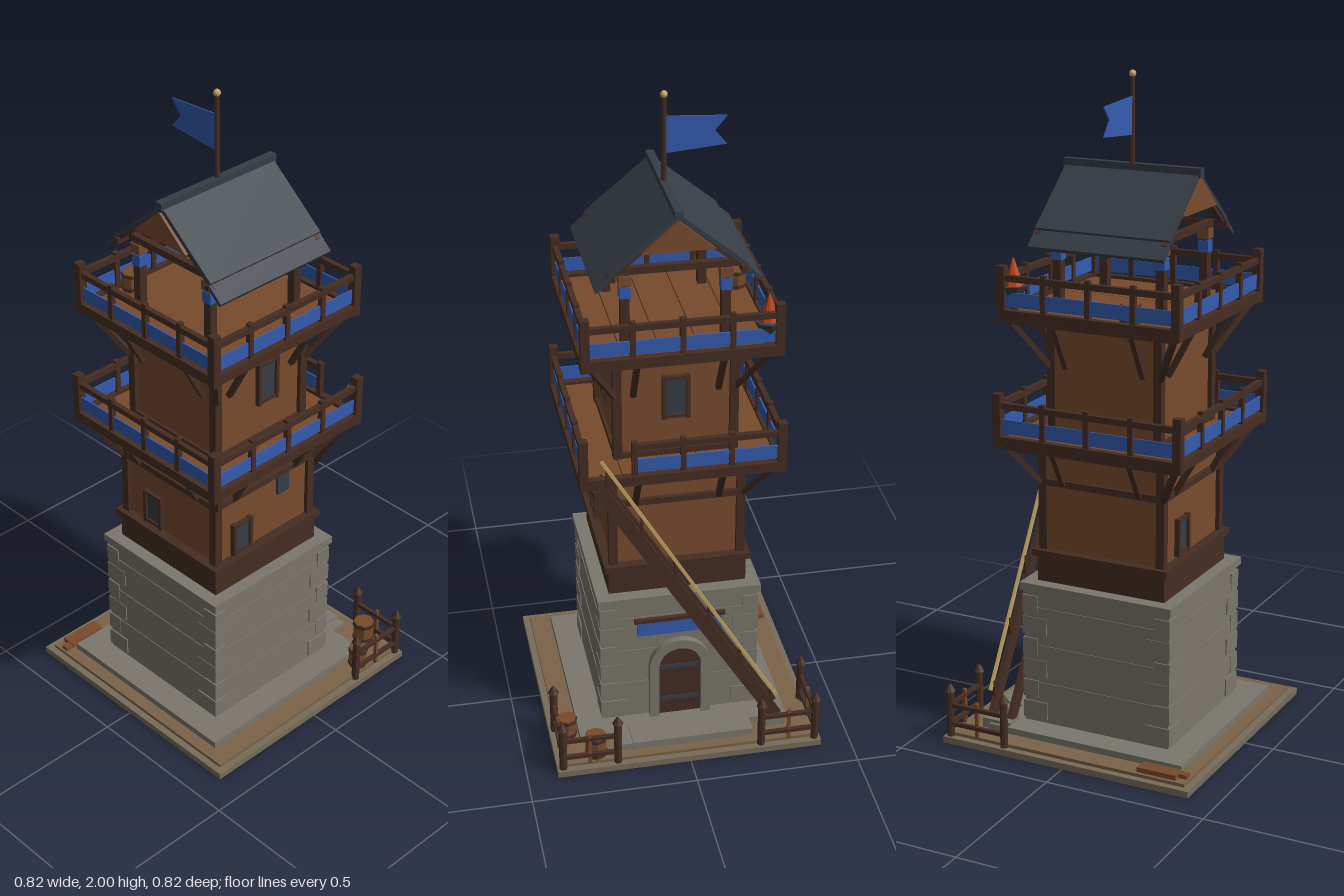
import * as THREE from 'three';

const mat = (name, color) => Object.assign(new THREE.MeshStandardMaterial({ color }), { name });

export function createModel() {
  const M = {
    stone: mat('stone', 0x7b776d), earth: mat('earth', 0x7a6347), rim: mat('ground rim', 0x786c5a),
    wood: mat('wood', 0x784b2d), dark: mat('dark wood', 0x452d23), slate: mat('slate', 0x363d45),
    blue: mat('blue cloth', 0x345bb0), gold: mat('gold', 0xc4a664), ember: mat('ember', 0xb8431a),
  };
  M.blue.side = THREE.DoubleSide;
  const root = new THREE.Group();
  root.name = 'watchtower';

  const group = (name, parent = root) => {
    const g = new THREE.Group();
    g.name = name;
    parent.add(g);
    return g;
  };
  const add = (parent, name, geo, m, x = 0, y = 0, z = 0) => {
    const mesh = new THREE.Mesh(geo, m);
    mesh.name = name;
    mesh.position.set(x, y, z);
    parent.add(mesh);
    return mesh;
  };
  // box given by its ranges on each axis
  const box = (p, name, m, x0, x1, y0, y1, z0, z1) =>
    add(p, name, new THREE.BoxGeometry(x1 - x0, y1 - y0, z1 - z0), m, (x0 + x1) / 2, (y0 + y1) / 2, (z0 + z1) / 2);
  const slab = (p, name, m, half, y0, y1) => box(p, name, m, -half, half, y0, y1, -half, half);
  // square timber between two points
  const beam = (p, name, m, a, b, w, h = w) => {
    const A = new THREE.Vector3(...a), B = new THREE.Vector3(...b);
    const mesh = new THREE.Mesh(new THREE.BoxGeometry(w, h, A.distanceTo(B)), m);
    mesh.name = name;
    mesh.position.copy(A).lerp(B, 0.5);
    mesh.lookAt(B);
    p.add(mesh);
    return mesh;
  };
  const octagon = (p, name, m, r0, r1, x, y0, y1, z) => {
    const geo = new THREE.CylinderGeometry(r1, r0, y1 - y0, 8).toNonIndexed();
    geo.computeVertexNormals();
    return add(p, name, geo, m, x, (y0 + y1) / 2, z);
  };
  const extrude = (p, name, m, pts, depth, z) => {
    const shape = new THREE.Shape(pts.map(([x, y]) => new THREE.Vector2(x, y)));
    return add(p, name, new THREE.ExtrudeGeometry(shape, { depth, bevelEnabled: false }), m, 0, 0, z);
  };
  // the four sides: build each facing +z, then turn it
  const sides = (p, name, build) => {
    for (let i = 0; i < 4; i++) {
      const g = group(name, p);
      g.rotation.y = i * Math.PI / 2; // front, left, back, right
      build(g, i);
    }
  };

  // Ground
  const ground = group('ground');
  slab(ground, 'groundRim', M.rim, 0.408, 0, 0.02);
  slab(ground, 'groundEarth', M.earth, 0.387, 0.02, 0.03);
  box(ground, 'doorStep', M.stone, -0.17, 0.17, 0.03, 0.055, -0.357, -0.27);
  for (const s of [-1, 1]) box(ground, 'stepEnd', M.stone, s * 0.187 - 0.017, s * 0.187 + 0.017, 0.03, 0.05, -0.352, -0.27);
  box(ground, 'stairFooting', M.stone, -0.312, -0.25, 0.03, 0.06, -0.325, -0.23);
  box(ground, 'spareTimber', M.wood, -0.377, -0.333, 0.03, 0.045, 0.23, 0.355);
  box(ground, 'spareTimberEnd', M.wood, -0.357, -0.333, 0.03, 0.042, 0.355, 0.38);

  const tower = group('tower');
  tower.position.z = 0.025;

  // Stone base with shallow courses and corner blocks
  const base = group('stoneBase', tower);
  slab(base, 'plinth', M.stone, 0.322, 0.03, 0.05);
  slab(base, 'stoneBody', M.stone, 0.24, 0.05, 0.47);
  slab(base, 'stoneCap', M.stone, 0.25, 0.47, 0.495);
  for (const y of [0.13, 0.25, 0.37]) slab(base, 'course', M.stone, 0.2425, y, y + 0.05);
  sides(base, 'cornerStones', (g) => {
    for (let k = 0; k < 6; k++) {
      const w = k % 2 ? 0.05 : 0.08;
      for (const s of [-1, 1])
        box(g, 'cornerStone', M.stone, s * (0.2445 - w / 2) - w / 2, s * (0.2445 - w / 2) + w / 2, 0.06 + k * 0.068, 0.115 + k * 0.068, 0.235, 0.2445);
    }
  });

  // Timber storeys
  const storeys = group('timberStoreys', tower);
  slab(storeys, 'footTimber', M.dark, 0.21, 0.495, 0.58);
  slab(storeys, 'sill', M.dark, 0.222, 0.575, 0.595);
  slab(storeys, 'lowerWalls', M.wood, 0.193, 0.595, 0.92);
  slab(storeys, 'upperWalls', M.wood, 0.172, 0.94, 1.3);
  for (const sx of [-1, 1]) for (const sz of [-1, 1]) {
    beam(storeys, 'lowerCornerPost', M.dark, [sx * 0.193, 0.595, sz * 0.193], [sx * 0.193, 0.92, sz * 0.193], 0.026);
    beam(storeys, 'upperCornerPost', M.dark, [sx * 0.172, 0.94, sz * 0.172], [sx * 0.172, 1.3, sz * 0.172], 0.026);
  }
  sides(storeys, 'wallBeams', (g) => {
    box(g, 'lowerBeam', M.dark, -0.2, 0.2, 0.795, 0.815, 0.19, 0.206);
    box(g, 'upperFootBeam', M.dark, -0.172, 0.172, 0.945, 0.965, 0.17, 0.182);
    box(g, 'upperHeadBeam', M.dark, -0.172, 0.172, 1.265, 1.285, 0.17, 0.182);
  });

  // Windows, by side: 0 front, 1 left, 2 back, 3 right
  const windowOn = (side, x, y0, y1, w, z, framed = true) => {
    const g = group('window', tower);
    g.rotation.y = side * Math.PI / 2;
    box(g, 'pane', M.slate, x - w / 2, x + w / 2, y0, y1, z, z + 0.008);
    if (!framed) return;
    for (const s of [-1, 1]) {
      const c = x + s * w / 2;
      box(g, 'windowJamb', M.dark, c - 0.006, c + 0.006, y0 - 0.008, y1 + 0.008, z, z + 0.016);
      const y = s < 0 ? y0 : y1;
      box(g, 'windowRail', M.dark, x - w / 2, x + w / 2, y - 0.005, y + 0.005, z, z + 0.014);
    }
  };
  windowOn(0, -0.07, 0.61, 0.71, 0.066, 0.193);
  windowOn(1, -0.093, 0.605, 0.7, 0.066, 0.193);
  windowOn(1, 0.08, 0.725, 0.8, 0.048, 0.193, false);
  windowOn(1, 0.027, 1.075, 1.2, 0.07, 0.172);
  windowOn(2, 0, 1.075, 1.2, 0.07, 0.172);

  // Balconies: deck, joists, railing, cloth and braces
  const balcony = (name, half, y, wall, braceDrop, gap) => {
    const b = group(name, tower), e = half - 0.013;
    for (let i = 0; i < 5; i++) {
      const w = 2 * e / 5, x = -e + i * w;
      box(b, 'deckPlank', M.wood, x + 0.0015, x + w - 0.0015, y + 0.022, y + 0.035, -e, e);
    }
    slab(b, 'underDeck', M.wood, half - 0.01, y + 0.012, y + 0.024);
    sides(b, 'balconySide', (g, i) => {
      box(g, 'edgeBeam', M.dark, -half, half, y + 0.015, y + 0.045, half - 0.022, half);
      box(g, 'innerBeam', M.dark, -half + 0.02, half - 0.02, y, y + 0.016, half - 0.045, half - 0.022);
      const xs = [-e, -0.142, 0, 0.142, e];
      xs.forEach((x, k) => {
        const r = k === 0 ? 0.013 : 0.008;
        if (k < 4) box(g, 'railPost', M.dark, x - r, x + r, y + 0.01, y + (k ? 0.155 : 0.172), e - r, e + r);
        if (k === 4 || (gap && i === 2 && k === 0)) return; // opening for the stair
        box(g, 'topRail', M.dark, x, xs[k + 1], y + 0.128, y + 0.146, e - 0.008, e + 0.008);
        box(g, 'clothPanel', M.blue, x, xs[k + 1], y + 0.053, y + 0.096, e - 0.002, e + 0.003);
      });
      for (const x of [-0.125, 0.125]) {
        beam(g, 'brace', M.dark, [x, y - braceDrop, wall], [x, y + 0.008, half - 0.035], 0.016);
        box(g, 'joist', M.dark, x - 0.008, x + 0.008, y, y + 0.016, wall - 0.02, half - 0.03);
      }
      beam(g, 'cornerBrace', M.dark, [wall, y - braceDrop, wall], [half - 0.03, y + 0.008, half - 0.03], 0.016);
    });
    return b;
  };
  balcony('lowerBalcony', 0.303, 0.912, 0.2, 0.11, true);
  const top = balcony('upperBalcony', 0.29, 1.288, 0.178, 0.135, false);

  // Fire bowl and keg on the upper deck
  const barrel = (p, r, x, y, z, h) => {
    const g = group('barrel', p);
    octagon(g, 'barrelBody', M.wood, r * 0.92, r * 0.92, x, y, y + h, z);
    for (const t of [0.1, 0.8]) octagon(g, 'barrelHoop', M.dark, r, r, x, y + h * t, y + h * (t + 0.15), z);
  };
  barrel(top, 0.032, -0.24, 1.323, 0.115, 0.06);
  octagon(top, 'fireStand', M.dark, 0.012, 0.012, -0.25, 1.32, 1.37, -0.255);
  octagon(top, 'fireBowl', M.slate, 0.025, 0.043, -0.25, 1.365, 1.4, -0.255);
  octagon(top, 'flame', M.ember, 0.03, 0.002, -0.25, 1.4, 1.48, -0.255);

  // Roof on four posts
  const roof = group('roof', tower);
  for (const sx of [-1, 1]) {
    for (const sz of [-1, 1]) {
      const x = sx * 0.145, z = sz * 0.165;
      beam(roof, 'roofPost', M.dark, [x, 1.32, z], [x, 1.54, z], 0.026);
      box(roof, 'postWrap', M.blue, x - 0.016, x + 0.016, 1.465, 1.5, z - 0.016, z + 0.016);
      box(roof, 'postHead', M.wood, x - 0.018, x + 0.018, 1.505, 1.535, z - 0.018, z + 0.018);
      beam(roof, 'rafter', M.dark, [0, 1.7, sz * 0.2], [sx * 0.2, 1.54, sz * 0.2], 0.016);
    }
    box(roof, 'eavePlate', M.dark, sx * 0.186 - 0.008, sx * 0.186 + 0.008, 1.535, 1.553, -0.218, 0.218);
    extrude(roof, 'roofSlope', M.slate, [[0, 1.725], [sx * 0.197, 1.561], [sx * 0.19, 1.549], [0, 1.708]], 0.426, -0.213);
    extrude(roof, 'roofFlare', M.slate, [[sx * 0.19, 1.557], [sx * 0.238, 1.514], [sx * 0.232, 1.504], [sx * 0.186, 1.545]], 0.43, -0.215);
  }
  for (const s of [-1, 1]) {
    box(roof, 'tieBeam', M.dark, -0.19, 0.19, 1.535, 1.556, s * 0.165 - 0.01, s * 0.165 + 0.01);
    extrude(roof, 'gableBoard', M.wood, [[-0.105, 1.614], [0.105, 1.614], [0, 1.706]], 0.012, s * 0.214 - 0.006);
  }
  box(roof, 'ridgeCap', M.slate, -0.012, 0.012, 1.708, 1.735, -0.221, 0.221);

  // Flag
  const flag = group('flag', tower);
  octagon(flag, 'flagPole', M.dark, 0.008, 0.007, 0, 1.71, 1.985, 0);
  add(flag, 'poleKnob', new THREE.SphereGeometry(0.011, 8, 6), M.gold, 0, 1.989, 0);
  extrude(flag, 'flagCloth', M.blue, [[0, 1.926], [0, 1.815], [-0.18, 1.83], [-0.145, 1.873], [-0.18, 1.915]], 0.004, -0.002);

  // Back door with arched surround and blue cloth
  const door = group('door', tower);
  door.rotation.y = Math.PI;
  const arch = (r, yTop) => {
    const s = new THREE.Shape();
    s.moveTo(-r, 0.05).lineTo(r, 0.05).lineTo(r, yTop);
    s.absarc(0, yTop, r, 0, Math.PI, false);
    return s.lineTo(-r, 0.05);
  };
  const frame = arch(0.095, 0.235);
  frame.holes.push(arch(0.065, 0.235));
  add(door, 'doorSurround', new THREE.ExtrudeGeometry(frame, { depth: 0.022, bevelEnabled: false }), M.stone, 0, 0, 0.24);
  add(door, 'doorLeaf', new THREE.ExtrudeGeometry(arch(0.066, 0.235), { depth: 0.008, bevelEnabled: false }), M.dark, 0, 0, 0.24);
  for (const y of [0.1, 0.22]) box(door, 'doorBand', M.slate, -0.06, 0.06, y, y + 0.014, 0.247, 0.252);
  box(door, 'doorCloth', M.blue, -0.13, 0.13, 0.355, 0.405, 0.243, 0.252);
  box(door, 'clothBar', M.dark, -0.14, 0.14, 0.403, 0.415, 0.24, 0.256);

  // Steep stair rising to the lower balcony
  const stair = group('stair');
  for (const z of [-0.24, -0.306])
    beam(stair, 'stringer', M.dark, [-0.285, 0.06, z], [0.25, 0.94, z], 0.014, 0.04);
  beam(stair, 'handRail', M.gold, [-0.285, 0.14, -0.313], [0.245, 1.04, -0.313], 0.009);
  for (let i = 0; i < 6; i++) {
    const t = 0.03 + i * 0.188, x = -0.285 + 0.53 * t;
    beam(stair, 'railStay', M.dark, [x, 0.07 + 0.88 * t, -0.309], [x, 0.14 + 0.9 * t, -0.309], 0.008);
  }

  // Corner fences at the back
  for (const s of [-1, 1]) {
    const f = group('cornerFence');
    for (const [x, z] of [[0.39, -0.39], [0.39, -0.205], [0.222, -0.39]]) {
      octagon(f, 'fencePost', M.dark, 0.012, 0.012, s * x, 0.02, 0.165, z);
      octagon(f, 'fenceCap', M.dark, 0.017, 0.004, s * x, 0.165, 0.187, z);
    }
    for (const y of [0.06, 0.12]) {
      beam(f, 'fenceRail', M.dark, [s * 0.39, y, -0.39], [s * 0.222, y, -0.39], 0.012);
      beam(f, 'fenceRail', M.dark, [s * 0.39, y, -0.39], [s * 0.39, y, -0.205], 0.012);
    }
    for (const [x, z] of [[0.308, -0.39], [0.39, -0.298]])
      beam(f, 'fenceStake', M.wood, [s * x, 0.03, z], [s * x, 0.14, z], 0.01);
  }
  barrel(root, 0.035, 0.284, 0.03, -0.355, 0.075);
  barrel(root, 0.031, 0.357, 0.03, -0.25, 0.07);

  return root;
}
